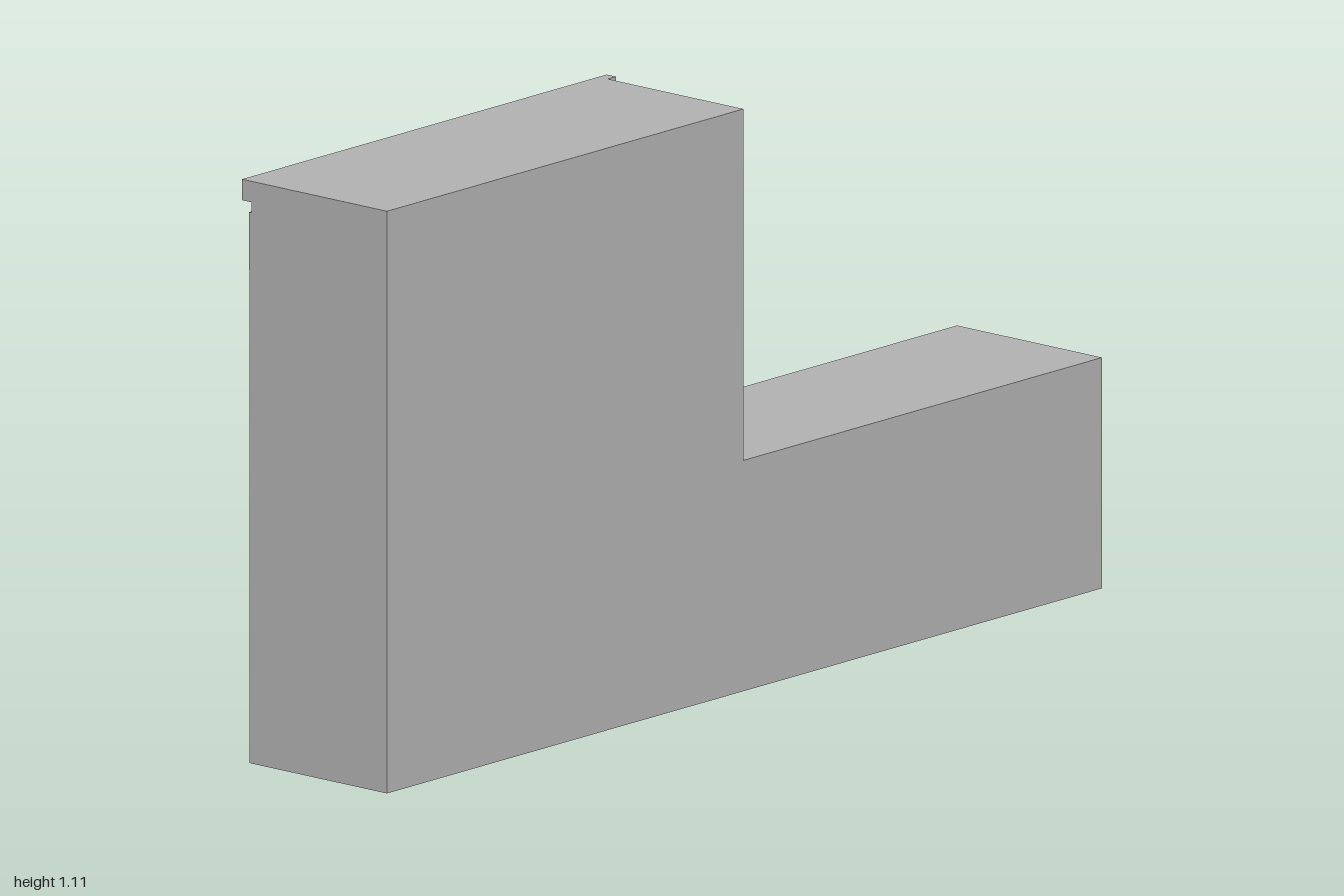
import * as THREE from 'three';

const LOW = 0.44, TALL = 1.11;          // heights of the two wall sections
const FRONT = 0.178, BACK = -0.155, TRIM_BACK = -0.178;

export function createModel() {
  const group = new THREE.Group();
  const grey = new THREE.MeshStandardMaterial({ color: 0xb2b2b2 });
  grey.name = 'concreteGrey';

  const add = (name, geometry) => {
    const mesh = new THREE.Mesh(geometry, grey);
    mesh.name = name;
    group.add(mesh);
    return mesh;
  };

  // Extrudes an outline in x, y between two z planes
  const slab = (name, points, z0, z1) => {
    const shape = new THREE.Shape(points.map(([x, y]) => new THREE.Vector2(x, y)));
    const geometry = new THREE.ExtrudeGeometry(shape, { depth: z1 - z0, bevelEnabled: false });
    add(name, geometry.translate(0, 0, z0));
  };

  // Box that stands out from the back wall
  const relief = (name, x0, x1, y0, y1, depth) => {
    const geometry = new THREE.BoxGeometry(x1 - x0, y1 - y0, depth);
    add(name, geometry.translate((x0 + x1) / 2, (y0 + y1) / 2, BACK - depth / 2));
  };

  // Stepped wall
  slab('wallBody', [
    [-1, 0], [1, 0], [1, LOW], [-0.003, LOW], [-0.003, TALL], [-1, TALL],
  ], BACK, FRONT);

  // Coping band that follows the step along the back edge
  slab('copingTrim', [
    [1, LOW - 0.04], [1, LOW], [0.02, LOW], [0.02, TALL], [-1, TALL],
    [-1, TALL - 0.04], [-0.02, TALL - 0.04], [-0.02, LOW - 0.04],
  ], TRIM_BACK, BACK);

  // Narrow vertical ribs every 0.4
  for (let i = 0; i <= 5; i++) {
    const x = 1 - i * 0.4;
    const top = (x > 0 ? LOW : TALL) - 0.06;
    relief('verticalRib', Math.max(x - 0.01, -1), Math.min(x + 0.01, 1), 0, top, 0.005);
  }

  // Row of small raised square blocks under the coping
  for (let i = 0; i < 10; i++) {
    const x = 0.9 - i * 0.2;
    const top = (x > 0.05 ? LOW : TALL) - 0.06;
    relief('squareBlock', x - 0.1, x, top - 0.11, top, 0.006);
  }

  return group;
}
